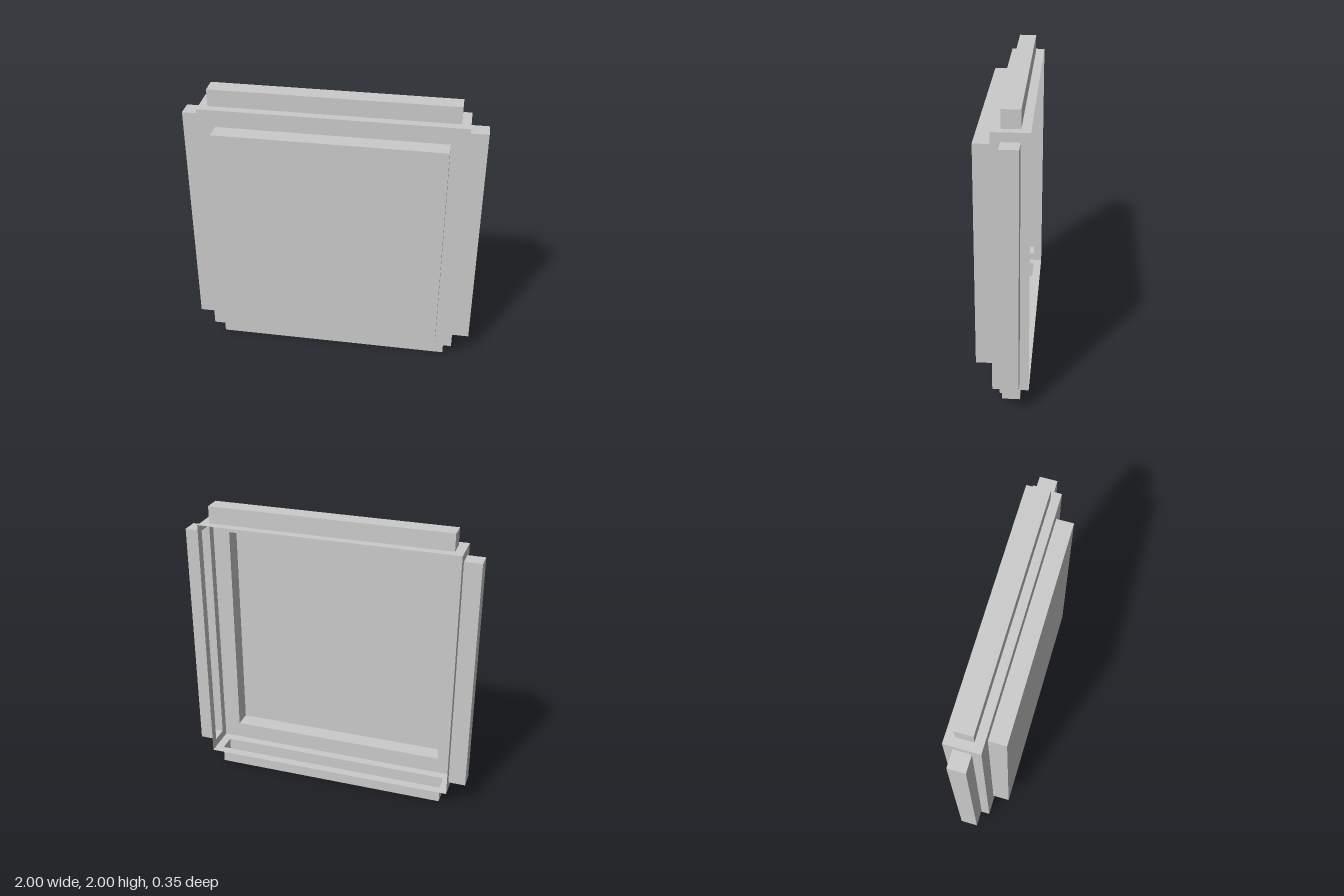
import * as THREE from 'three';

const U = 1 / 17; // every size is a multiple of this step
const material = new THREE.MeshStandardMaterial({ color: 0xcccccc, side: THREE.DoubleSide, flatShading: true });

function addMesh(parent, name, geometry) {
  const mesh = new THREE.Mesh(geometry, material);
  mesh.name = name;
  parent.add(mesh);
  return mesh;
}

function rectangle(PathType, w, h) {
  return new PathType([[-1, -1], [1, -1], [1, 1], [-1, 1]]
    .map(([x, y]) => new THREE.Vector2(x * w / 2, y * h / 2)));
}

// One thin wall facing +z: a flat border around a hollow block that is open behind
function raisedWall(name, w, h, inset, depth) {
  const wall = new THREE.Group();
  wall.name = name;
  const iw = w - 2 * inset, ih = h - 2 * inset;

  const border = rectangle(THREE.Shape, w, h);
  border.holes.push(rectangle(THREE.Path, iw, ih));
  addMesh(wall, name + 'Border', new THREE.ShapeGeometry(border));

  const block = new THREE.BoxGeometry(iw, ih, depth);
  block.setIndex(Array.from(block.index.array.slice(0, 30))); // leave out the rear face
  block.clearGroups();
  addMesh(wall, name + 'Block', block).position.z = depth / 2;
  return wall;
}

export function createModel() {
  const model = new THREE.Group();
  model.name = 'hollowPanel';
  const size = 30 * U, half = 15 * U, thick = 4 * U, midZ = -U;

  // Front with its large raised panel; the back stays open
  const front = raisedWall('frontPanel', size, size, 2 * U, 2 * U);
  front.position.set(0, 1, U);
  model.add(front);

  for (const s of [1, -1]) {
    // Side walls, each with a narrow upright flange
    const side = raisedWall(s > 0 ? 'leftFlange' : 'rightFlange', thick, size, U, 2 * U);
    side.rotation.y = s * Math.PI / 2;
    side.position.set(s * half, 1, midZ);
    model.add(side);

    // Top and bottom walls, each with a long level flange
    const level = raisedWall(s > 0 ? 'topFlange' : 'bottomFlange', size, thick, U, 2 * U);
    level.rotation.x = -s * Math.PI / 2;
    level.position.set(0, 1 + s * half, midZ);
    model.add(level);
  }
  return model;
}
